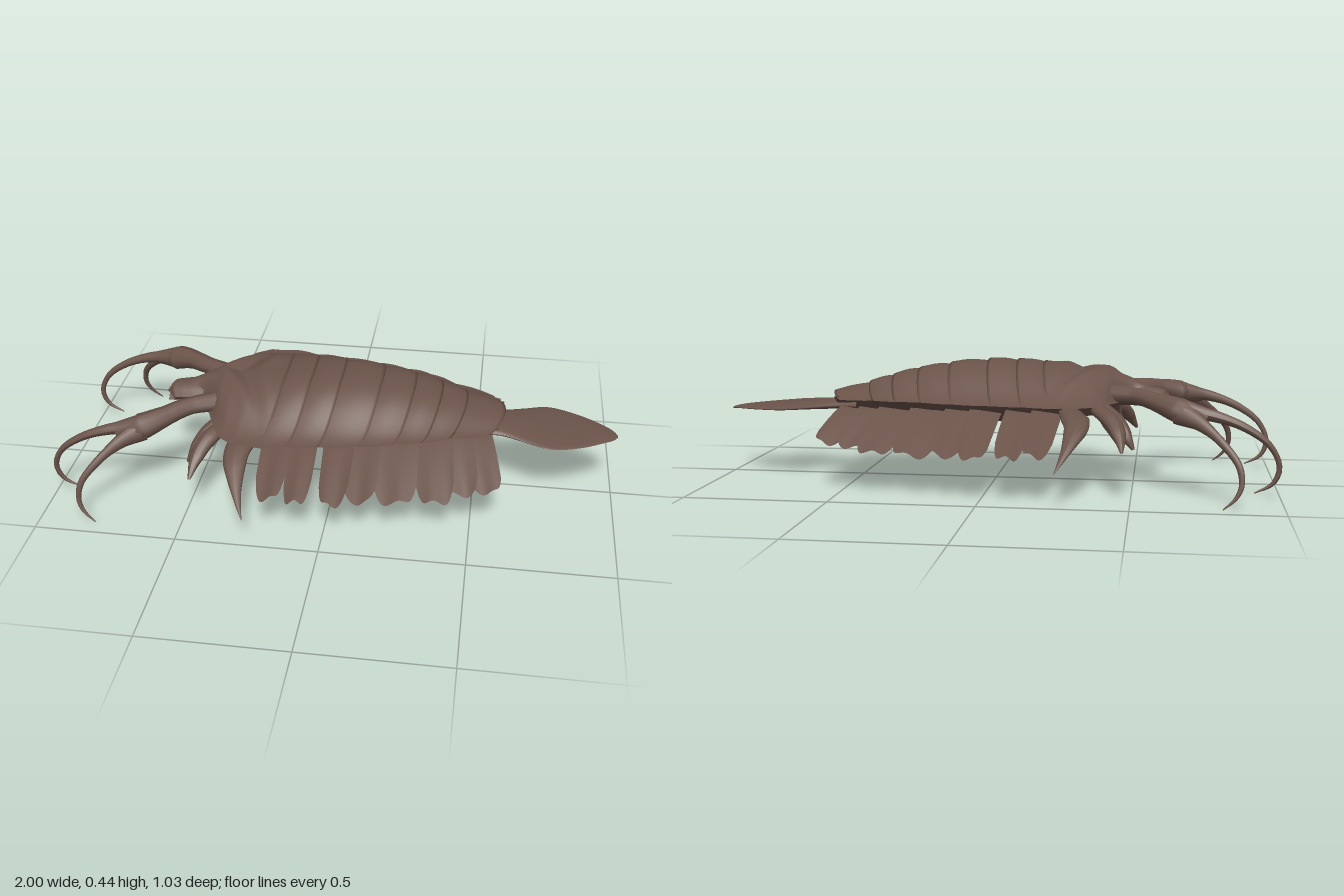
import * as THREE from 'three';

const shellBrown = new THREE.MeshStandardMaterial({ color: 0x6b544a, side: THREE.DoubleSide });
shellBrown.name = 'shell brown';

// Smooth grid surface from a rule (u, v) -> [x, y, z]
function sheet(nu, nv, rule) {
  const pos = [], idx = [];
  for (let i = 0; i <= nu; i++)
    for (let j = 0; j <= nv; j++) pos.push(...rule(i / nu, j / nv));
  for (let i = 0; i < nu; i++)
    for (let j = 0; j < nv; j++) {
      const a = i * (nv + 1) + j, b = a + nv + 1;
      idx.push(a, a + 1, b, b, a + 1, b + 1);
    }
  const g = new THREE.BufferGeometry();
  g.setAttribute('position', new THREE.Float32BufferAttribute(pos, 3));
  g.setIndex(idx);
  g.computeVertexNormals();
  return g;
}

// Piecewise linear lookup in [[x, value], ...]
function look(table, x) {
  for (let i = 1; i < table.length; i++) {
    const [x0, v0] = table[i - 1], [x1, v1] = table[i];
    if (x <= x1) return THREE.MathUtils.lerp(v0, v1, Math.max(0, (x - x0) / (x1 - x0)));
  }
  return table[table.length - 1][1];
}

// Tapered limb along a curve; flat squashes it vertically
function limb(points, radii, flat = 1) {
  const curve = new THREE.CatmullRomCurve3(points.map(p => new THREE.Vector3(...p)));
  const n = 28, m = 10;
  const g = new THREE.TubeGeometry(curve, n, 1, m, false);
  const p = g.attributes.position;
  const table = radii.map((r, i) => [i / (radii.length - 1), r]);
  for (let i = 0; i <= n; i++) {
    const c = curve.getPointAt(i / n), r = look(table, i / n);
    for (let j = 0; j <= m; j++) {
      const k = i * (m + 1) + j;
      p.setXYZ(k, c.x + (p.getX(k) - c.x) * r, c.y + (p.getY(k) - c.y) * r * flat, c.z + (p.getZ(k) - c.z) * r);
    }
  }
  g.computeVertexNormals();
  return g;
}

// Half width, crown height and rim height of the shell along its length
const width = [[-0.62, 0.05], [-0.5, 0.068], [-0.47, 0.1], [-0.44, 0.16], [-0.41, 0.24], [-0.37, 0.31],
  [-0.31, 0.352], [-0.2, 0.348], [-0.1, 0.328], [0, 0.318], [0.14, 0.295], [0.26, 0.26], [0.35, 0.235], [0.43, 0.19], [0.6, 0.125]];
const crown = [[-0.62, 0.325], [-0.55, 0.35], [-0.48, 0.382], [-0.41, 0.405], [-0.3, 0.413], [-0.2, 0.425],
  [-0.1, 0.432], [0, 0.432], [0.1, 0.423], [0.2, 0.408], [0.3, 0.388], [0.4, 0.358], [0.5, 0.328], [0.6, 0.302]];
const rim = [[-0.62, 0.29], [-0.4, 0.31], [0.3, 0.31], [0.6, 0.295]];

// Arched back plate whose rear lip lifts over the next one
function backPlate(x0, x1, head) {
  const rows = head ? 40 : 12;
  return sheet(rows + 1, 48, (ui, v) => {
    const row = Math.round(ui * (rows + 1));
    const u = Math.min(row, rows) / rows, lip = row > rows ? 1 : 0;
    const x = THREE.MathUtils.lerp(x0, x1, u), s = v * 2 - 1, q = Math.abs(s);
    const lift = head ? 0.008 * u * u : -0.008 + 0.017 * Math.sin(Math.min(1, u * 1.15) * Math.PI * 0.6);
    const w = look(width, x) + (head ? 0 : 0.012 * Math.sin(Math.PI * u) + 0.004 * u);
    const base = look(rim, x);
    const arch = 0.5 * (1 + Math.cos(Math.PI * Math.pow(q, 1.35)));
    let y = base + (look(crown, x) + lift - base) * arch;
    const z = s * w;
    // Oblique cheek ridges on the head
    if (head) {
      const ridge = (c, k, a) => a * Math.exp(-Math.pow((x - c - k * Math.abs(z)) / 0.025, 2)) * (1 - q);
      y += ridge(-0.42, 0.7, 0.014) + ridge(-0.28, 0.25, 0.01) - ridge(-0.35, 0.45, 0.012);
    }
    const bow = (head ? Math.pow(u, 6) : 1) * 0.025 * (1 - 2 * q * q);
    return [x + bow - lip * 0.008, y - lip * 0.018 * (1 - q), z];
  });
}

// Swimming flap: a broad drooping lobe with a blunt, slightly wavy end
function swimFlap(x, zTip, yTip, chord, sweep, phase) {
  return sheet(18, 18, (s, t) => {
    const c = t * 2 - 1;
    const reach = 1 - 0.24 * Math.pow(Math.abs(c), 5) - 0.02 * (1 + Math.sin(c * 5 + phase));
    const d = s * reach;
    const z = 0.09 + (zTip - 0.09) * d;
    const y = 0.26 - (0.26 - yTip) * Math.pow(d, 1.2) + c * 0.008 + 0.005 * s * Math.sin(c * 4 + phase);
    return [x - sweep * (1 - d) + c * chord * (1 - 0.08 * s * s), y, z];
  });
}

export function createModel() {
  const model = new THREE.Group();
  model.name = 'armouredSwimmer';
  const add = (name, geometry, parent = model) => {
    const mesh = new THREE.Mesh(geometry, shellBrown);
    mesh.name = name;
    parent.add(mesh);
    return mesh;
  };

  // Shell
  add('headShield', backPlate(-0.62, -0.2, true));
  const joints = [-0.22, -0.105, 0.0, 0.14, 0.255, 0.35, 0.44, 0.575];
  for (let i = 0; i < joints.length - 1; i++)
    add('backPlate' + (i + 1), backPlate(joints[i] - 0.02, joints[i + 1], false));

  // Blunt snout and mouth
  add('snout', limb([[-0.42, 0.32, 0], [-0.52, 0.315, 0], [-0.6, 0.306, 0], [-0.635, 0.3, 0]],
    [0.07, 0.066, 0.062, 0.062, 0.06, 0.056, 0.001], 0.6));
  add('mouth', limb([[-0.42, 0.27, 0], [-0.44, 0.22, 0], [-0.45, 0.165, 0]], [0.04, 0.024, 0.032, 0.012]));

  // Keeled belly, widening up to the shell
  const keel = [[0.245, 0], [0.246, 0.06], [0.268, 0.105], [0.295, 0.155], [0.318, 0.215]];
  add('belly', sheet(48, 8, (u, v) => {
    const x = -0.45 + 1.03 * u, s = v * 8 - 4;
    const [y, z] = keel[Math.abs(Math.round(s))];
    const k = Math.min(1, look(width, x) / 0.27);
    return [x, y - 0.004 * Math.sin(u * 60) * (1 - Math.abs(s) / 4) - (y - 0.245) * 0.4 * (1 - k), Math.sign(s) * z * k];
  }));

  // Leaf-shaped tail
  const tailWidth = new THREE.SplineCurve([[0.5, 0.1], [0.58, 0.085], [0.66, 0.11], [0.74, 0.142], [0.8, 0.138],
    [0.88, 0.105], [0.95, 0.06], [0.985, 0.03], [1, 0.002]].map(p => new THREE.Vector2(...p)));
  add('tail', sheet(36, 24, (u, v) => {
    const p = tailWidth.getPoint(u), a = v * Math.PI * 2;
    const thick = THREE.MathUtils.lerp(0.028, 0.003, Math.sqrt(u));
    return [Math.min(p.x, 1), 0.27 - 0.028 * u + thick * Math.sin(a), p.y * Math.cos(a)];
  }));

  // One set of limbs per side
  const flaps = [ // x, tip z, tip y, half chord, sweep
    [-0.185, 0.45, 0.16, 0.054, 0.01], [-0.09, 0.445, 0.15, 0.052, 0.01], [0.035, 0.435, 0.145, 0.056, 0.01],
    [0.125, 0.405, 0.145, 0.065, 0.02], [0.245, 0.385, 0.14, 0.082, 0.03], [0.385, 0.37, 0.145, 0.07, 0.04],
    [0.475, 0.325, 0.155, 0.062, 0.05], [0.555, 0.31, 0.165, 0.062, 0.06]];
  for (const side of [1, -1]) {
    const limbs = new THREE.Group();
    limbs.name = side > 0 ? 'leftLimbs' : 'rightLimbs';
    limbs.scale.z = side;
    model.add(limbs);

    flaps.forEach((f, i) => add('swimFlap' + (i + 1), swimFlap(...f, i * 1.7), limbs));

    // Curved side spine
    add('sideSpine', limb([[-0.28, 0.27, 0.15], [-0.315, 0.245, 0.3], [-0.3, 0.2, 0.4], [-0.275, 0.15, 0.475], [-0.257, 0.118, 0.515]],
      [0.04, 0.05, 0.04, 0.018, 0.001], 0.4), limbs);

    // Short feeding legs behind the claws
    add('feedingLeg1', limb([[-0.4, 0.28, 0.14], [-0.45, 0.24, 0.2], [-0.48, 0.2, 0.235], [-0.505, 0.16, 0.25]],
      [0.03, 0.035, 0.028, 0.006], 0.7), limbs);
    add('feedingLeg2', limb([[-0.38, 0.28, 0.16], [-0.435, 0.25, 0.25], [-0.46, 0.21, 0.32], [-0.47, 0.17, 0.375]],
      [0.03, 0.035, 0.026, 0.005], 0.7), limbs);
    add('mouthLeg', limb([[-0.38, 0.28, 0.09], [-0.42, 0.22, 0.12], [-0.45, 0.165, 0.145]], [0.025, 0.024, 0.01]), limbs);

    // Grasping arm with two hooked claws
    add('armBase', limb([[-0.42, 0.33, 0.1], [-0.52, 0.33, 0.155], [-0.6, 0.315, 0.22], [-0.67, 0.295, 0.26], [-0.75, 0.275, 0.275]],
      [0.042, 0.036, 0.04, 0.054, 0.018], 0.8), limbs);
    add('innerClaw', limb([[-0.66, 0.3, 0.255], [-0.78, 0.282, 0.27], [-0.88, 0.245, 0.275], [-0.96, 0.185, 0.275],
      [-0.99, 0.115, 0.272], [-0.97, 0.06, 0.27], [-0.91, 0.026, 0.268]], [0.042, 0.022, 0.016, 0.013, 0.01, 0.009, 0.002]), limbs);
    add('outerClaw', limb([[-0.66, 0.29, 0.265], [-0.73, 0.26, 0.315], [-0.8, 0.205, 0.37], [-0.85, 0.14, 0.408],
      [-0.858, 0.08, 0.425], [-0.84, 0.04, 0.435], [-0.8, 0.004, 0.443]], [0.042, 0.026, 0.016, 0.013, 0.011, 0.008, 0.002]), limbs);
  }
  return model;
}
